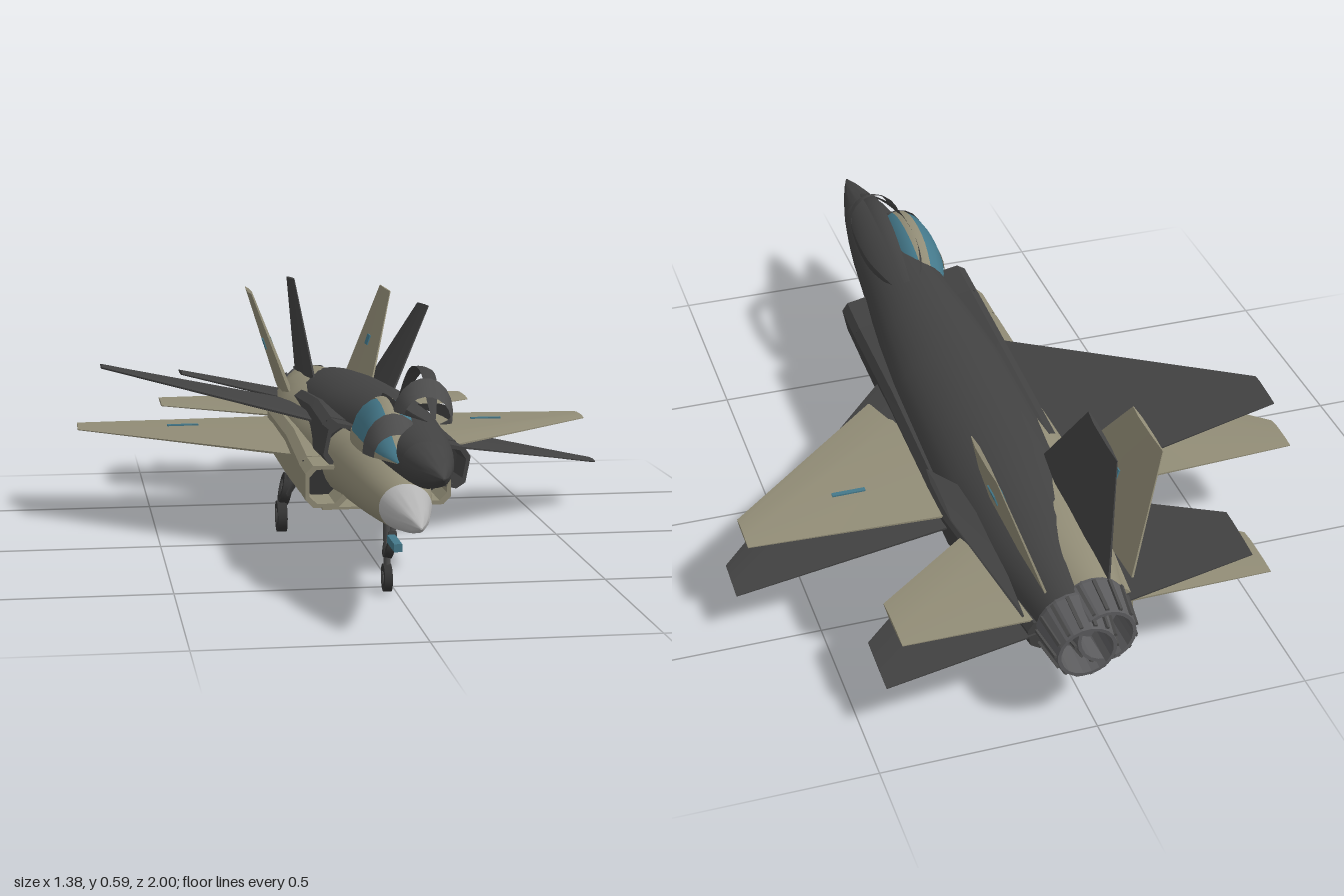
import * as THREE from 'three';
import { toCreasedNormals } from 'three/addons/utils/BufferGeometryUtils.js';

const V = (x, y, z) => new THREE.Vector3(x, y, z);
const paint = (name, color, side = THREE.FrontSide) =>
  Object.assign(new THREE.MeshStandardMaterial({ color, side }), { name });

// Skin a list of equal-length rings, cap both ends, and face it outwards.
function loft(rings, crease = 0.6) {
  const n = rings[0].length, pts = [], tris = [];
  rings.forEach(r => pts.push(...r));
  for (let i = 0; i < rings.length - 1; i++)
    for (let j = 0; j < n; j++) {
      const a = i * n + j, b = i * n + (j + 1) % n;
      tris.push([a, b, b + n], [a, b + n, a + n]);
    }
  const last = (rings.length - 1) * n;
  for (let j = 1; j < n - 1; j++) tris.push([0, j + 1, j], [last, last + j, last + j + 1]);
  const volume = tris.reduce((s, [a, b, c]) => s + pts[a].dot(V(0, 0, 0).crossVectors(pts[b], pts[c])), 0);
  if (volume < 0) tris.forEach(t => t.reverse());
  const geo = new THREE.BufferGeometry().setFromPoints(pts);
  geo.setIndex(tris.flat());
  return toCreasedNormals(geo, crease);
}

// Elliptical body section: z, half width, bottom, top.
const oval = ([z, w, y0, y1], n = 32) => Array.from({ length: n }, (_, i) => {
  const a = i / n * Math.PI * 2;
  return V(w * Math.cos(a), (y0 + y1) / 2 + (y1 - y0) / 2 * Math.sin(a), z);
});

// Tapered surface between root and tip: x, y, leading z, trailing z, thickness.
function blade(s, root, tip) {
  const n = V(-(tip[1] - root[1]), tip[0] - root[0], 0).normalize();
  const foil = [[0, 0.1], [0.25, 0.5], [0.7, 0.4], [1, 0.1], [1, -0.1], [0.7, -0.4], [0.25, -0.5], [0, -0.1]];
  return loft([root, tip].map(([x, y, zl, zt, t]) => foil.map(([c, h]) =>
    V(s * (x + n.x * h * t), y + n.y * h * t, zl + (zt - zl) * c))), 0.3);
}

// Chamfered box section of an engine trunk: z, inner x, outer x, bottom, top.
function trunkRing(s, [z, xi, xo, y0, y1]) {
  const c = 0.018;
  return [[xi + c, y0], [xo - c, y0], [xo, y0 + c], [xo, y1 - c], [xo - c, y1], [xi + c, y1], [xi, y1 - c], [xi, y0 + c]]
    .map(([x, y]) => V(s * x, y, z));
}

// Canopy bubble: z, half width, height above the sill.
const canopyLine = new THREE.CatmullRomCurve3([
  V(0.77, 0.012, 0.003), V(0.7, 0.045, 0.04), V(0.63, 0.064, 0.082), V(0.55, 0.071, 0.102),
  V(0.45, 0.069, 0.096), V(0.38, 0.053, 0.064), V(0.32, 0.03, 0.01)]);
function canopyPatch(u0, u1, deg0, deg1, grow = 0) {
  const nu = 16, nt = 10, p = [], idx = [];
  for (let i = 0; i <= nu; i++)
    for (let j = 0; j <= nt; j++) {
      const { x: z, y: w, z: h } = canopyLine.getPoint(u0 + (u1 - u0) * i / nu);
      const a = THREE.MathUtils.degToRad(deg0 + (deg1 - deg0) * j / nt);
      p.push(V((w + grow) * Math.cos(a), 0.335 + (h + grow) * Math.sin(a), z));
      if (i < nu && j < nt) {
        const k = i * (nt + 1) + j;
        idx.push(k, k + 1, k + nt + 2, k, k + nt + 2, k + nt + 1);
      }
    }
  const geo = new THREE.BufferGeometry().setFromPoints(p);
  geo.setIndex(idx);
  geo.computeVertexNormals();
  return geo;
}

function rod(a, b, r) {
  const d = b.clone().sub(a), mid = a.clone().add(b).multiplyScalar(0.5);
  return new THREE.CylinderGeometry(r, r, d.length(), 10)
    .applyQuaternion(new THREE.Quaternion().setFromUnitVectors(V(0, 1, 0), d.normalize()))
    .translate(mid.x, mid.y, mid.z);
}

function buildJet(name, skin, skinThin, noseMat, m, detailed) {
  const jet = new THREE.Group();
  jet.name = name;
  const add = (part, geo, mat) => {
    const mesh = new THREE.Mesh(geo, mat);
    mesh.name = part;
    jet.add(mesh);
    return mesh;
  };

  // Fuselage and nose cone
  const join = [0.8, 0.058, 0.195, 0.297];
  add('noseCone', loft([[1.0, 0.002, 0.238, 0.242], [0.96, 0.017, 0.223, 0.256], [0.9, 0.035, 0.21, 0.271], join].map(s => oval(s))), noseMat);
  add('fuselage', loft([join, [0.7, 0.075, 0.186, 0.314], [0.6, 0.088, 0.178, 0.328], [0.4, 0.106, 0.165, 0.346],
    [0.2, 0.13, 0.15, 0.352], [0, 0.149, 0.138, 0.352], [-0.4, 0.155, 0.122, 0.35], [-0.65, 0.135, 0.12, 0.342],
    [-0.8, 0.1, 0.128, 0.331], [-0.88, 0.083, 0.15, 0.32]].map(s => oval(s))), skin);

  // Canopy frame: centre strip, hoop and sills
  add('canopyStrip', canopyPatch(0.02, 1, 76, 104, 0.002), skinThin);
  add('canopyHoop', canopyPatch(0.19, 0.34, 0, 180, 0.004), m.frame);
  for (const a of [0, 165]) add('canopySill', canopyPatch(0, 1, a, a + 15, 0.002), skinThin);
  if (detailed) add('canopyGlass', canopyPatch(0, 1, 0, 180), m.glass);

  // Exhaust nozzle with petal ridges
  const profile = [[0.08, -0.86], [0.083, -0.89], [0.068, -0.985], [0.06, -0.985], [0.056, -0.9], [0.001, -0.9]];
  const nozzleGeo = new THREE.LatheGeometry(profile.map(([r, z]) => new THREE.Vector2(r, z)).reverse(), 20);
  const nozzle = add('nozzle', toCreasedNormals(nozzleGeo.rotateX(Math.PI / 2).translate(0, 0.238, 0), 0.1), m.nozzle);
  nozzle.material = m.nozzle;
  for (let i = 0; i < 14; i++) {
    const ridge = new THREE.BoxGeometry(0.008, 0.008, 0.09).rotateX(-0.15).translate(0, 0.077, -0.935)
      .rotateZ(i / 14 * Math.PI * 2).translate(0, 0.238, 0);
    add('nozzlePetalRidge', ridge, m.frame);
  }

  for (const s of [1, -1]) {
    // Engine trunk with hollow intake
    add('engineTrunk', loft([[0.3, 0.07, 0.17, 0.17, 0.272], [0, 0.06, 0.166, 0.155, 0.288],
      [-0.45, 0.06, 0.166, 0.152, 0.28], [-0.88, 0.04, 0.1, 0.19, 0.27]].map(t => trunkRing(s, t)), 0.3), skin);
    const outline = trunkRing(s, [0, 0.075, 0.17, 0.172, 0.27]).map(p => new THREE.Vector2(p.x, p.y));
    const lip = new THREE.Shape(outline);
    lip.holes.push(new THREE.Path(trunkRing(s, [0, 0.084, 0.161, 0.181, 0.261]).map(p => new THREE.Vector2(p.x, p.y))));
    add('intakeLip', new THREE.ExtrudeGeometry(lip, { depth: 0.14, bevelEnabled: false }).translate(0, 0, 0.28), skin);
    add('intakeDuct', new THREE.BoxGeometry(0.08, 0.084, 0.004).translate(s * 0.122, 0.221, 0.305), m.tyre);

    // Wing, tailplane and canted fin
    add('wing', blade(s, [0.13, 0.24, 0.135, -0.475, 0.026], [0.67, 0.24, -0.34, -0.45, 0.01]), skin);
    add('tailplane', blade(s, [0.07, 0.238, -0.46, -0.885, 0.022], [0.43, 0.236, -0.73, -0.88, 0.01]), skin);
    add('tailFin', blade(s, [0.1, 0.29, -0.41, -0.87, 0.026], [0.19, 0.557, -0.61, -0.79, 0.01]), skin);

    // Main landing gear
    add('mainStrut', rod(V(s * 0.13, 0.19, -0.11), V(s * 0.168, 0.045, -0.135), 0.011), m.frame);
    add('mainBrace', rod(V(s * 0.13, 0.16, -0.03), V(s * 0.157, 0.085, -0.128), 0.006), m.frame);
    add('mainWheel', new THREE.CylinderGeometry(0.04, 0.04, 0.024, 20).rotateZ(Math.PI / 2).translate(s * 0.165, 0.04, -0.135), m.tyre);
    add('mainHub', new THREE.CylinderGeometry(0.02, 0.02, 0.028, 14).rotateZ(Math.PI / 2).translate(s * 0.165, 0.04, -0.135), m.frame);

    // Painted marks on wing and fin
    if (detailed) {
      add('wingMark', new THREE.BoxGeometry(0.08, 0.004, 0.012).translate(s * 0.4, 0.249, -0.325), m.glass);
      for (const k of [-1, 1])
        add('finMark', new THREE.BoxGeometry(0.004, 0.028, 0.045).translate(k * 0.0095, 0, 0)
          .rotateZ(-s * 0.325).translate(s * 0.143, 0.418, -0.65), m.glass);
    }
  }

  // Nose landing gear
  add('noseStrut', rod(V(0, 0.19, 0.54), V(0, 0.032, 0.545), 0.008), m.frame);
  add('noseWheel', new THREE.CylinderGeometry(0.032, 0.032, 0.018, 20).rotateZ(Math.PI / 2).translate(0, 0.032, 0.545), m.tyre);
  add('noseHub', new THREE.CylinderGeometry(0.015, 0.015, 0.022, 14).rotateZ(Math.PI / 2).translate(0, 0.032, 0.545), m.frame);

  // Underside bay door and hanging sensor rod
  if (detailed) {
    add('bayDoor', new THREE.BoxGeometry(0.2, 0.006, 0.3).translate(0, 0.12, 0.03), skin);
    add('sensorRod', new THREE.BoxGeometry(0.018, 0.018, 0.1).translate(0, 0.135, 0.655), m.glass);
  }
  return jet;
}

export function createModel() {
  const m = {
    frame: paint('frameGrey', 0x4c4c4c, THREE.DoubleSide),
    nozzle: paint('nozzleGrey', 0x5c5c5e, THREE.DoubleSide),
    glass: paint('tealGlass', 0x44788a, THREE.DoubleSide),
    tyre: paint('tyreBlack', 0x343434),
    nose: paint('noseGrey', 0xb4b4b4),
    tan: paint('tan', 0x918c76, THREE.DoubleSide),
    dark: paint('darkGrey', 0x424242, THREE.DoubleSide),
  };
  const model = new THREE.Group();
  model.name = 'pairedJets';

  // Level jet
  const level = buildJet('tanJet', m.tan, m.tan, m.nose, m, true);
  level.position.x = -0.02;

  // Second jet, rolled and pitched about the wing centre
  const banked = buildJet('darkJet', m.dark, m.dark, m.dark, m, false);
  banked.position.set(0, -0.24, 0.4);
  const pivot = new THREE.Group();
  pivot.name = 'bankedPivot';
  pivot.position.set(0.03, 0.255, -0.415);
  pivot.rotation.set(-0.06, 0, -0.21);
  pivot.add(banked);

  model.add(level, pivot);
  return model;
}
